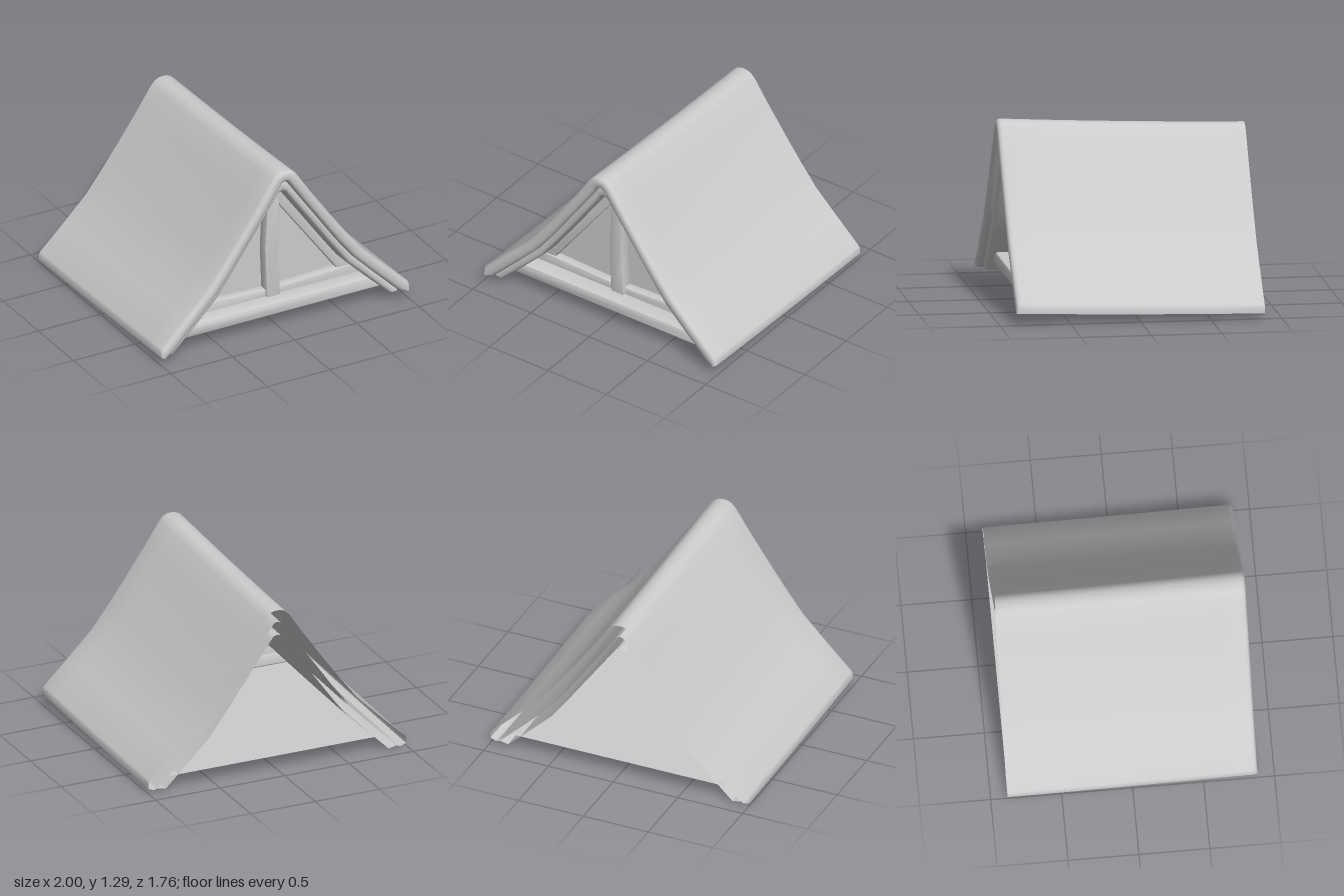
import * as THREE from 'three';
import { toCreasedNormals } from 'three/addons/utils/BufferGeometryUtils.js';

const material = new THREE.MeshStandardMaterial({ color: 0xcccccc, side: THREE.DoubleSide });

// Half profiles, ridge to right eave; matching points of each pair face each other
const roofOuter = [[0, 1.29], [0.03, 1.287], [0.06, 1.275], [0.095, 1.24], [0.2, 1.08], [0.36, 0.85], [0.49, 0.67], [0.62, 0.5], [0.8, 0.32], [0.99, 0.135], [1, 0.12], [1, 0.075]];
const roofInner = [[0, 1.2], [0.015, 1.197], [0.03, 1.185], [0.05, 1.155], [0.135, 1.03], [0.295, 0.8], [0.42, 0.62], [0.55, 0.45], [0.735, 0.26], [0.91, 0.085], [0.945, 0.06], [0.965, 0.06]];
const trimOuter = [[0, 1.21], [0.03, 1.19], [0.06, 1.15], [0.3, 0.81], [0.425, 0.63], [0.555, 0.46], [0.74, 0.27], [0.94, 0.07]];
const trimInner = [[0, 1.1], [0.03, 1.09], [0.05, 1.06], [0.255, 0.77], [0.385, 0.585], [0.53, 0.385], [0.7, 0.215], [0.865, 0.055]];

const mirror = (half) => [...half.slice(1).reverse().map(([x, y]) => [-x, y]), ...half];

// The roof sags gently towards the back and leans a little to one side
function sag(x, y, z) {
  const t = (0.88 - z) / 1.76;
  return y + 0.01 * x - t * (1.45 - 0.45 * t) * (0.045 + 0.02 * y);
}

// Band between two profiles, swept front to back: rounded front, open back
function sweepBand(outerHalf, innerHalf, front) {
  const outer = mirror(outerHalf), inner = mirror(innerHalf), n = outer.length;
  const rows = [[front, 0.3], [front - 0.008, 0.14], [front - 0.02, 0.04], [front - 0.035, 0]];
  for (let i = 1; i <= 10; i++) rows.push([THREE.MathUtils.lerp(front - 0.035, -0.88, i / 10), 0]);
  const positions = [], index = [], m = 2 * n;
  for (const [z, inset] of rows) {
    const mix = (a, b) => {
      const x = a[0] + (b[0] - a[0]) * inset, y = a[1] + (b[1] - a[1]) * inset;
      positions.push(x, sag(x, y, z), z);
    };
    for (let i = 0; i < n; i++) mix(outer[i], inner[i]);
    for (let i = n - 1; i >= 0; i--) mix(inner[i], outer[i]);
  }
  for (let r = 0; r < rows.length - 1; r++) {
    for (let j = 0; j < m; j++) {
      const a = r * m + j, b = r * m + (j + 1) % m;
      index.push(a, b, a + m, b, b + m, a + m);
    }
  }
  for (let i = 0; i < n - 1; i++) {
    const p = m - 1 - i, q = m - 2 - i;
    index.push(i, p, q, i, q, i + 1);
  }
  const geometry = new THREE.BufferGeometry();
  geometry.setAttribute('position', new THREE.Float32BufferAttribute(positions, 3));
  geometry.setIndex(index);
  return toCreasedNormals(geometry, 0.7);
}

// Bevelled timber cut from an outline facing the front
function timber(points, front, depth, bevel = 0.012) {
  const shape = new THREE.Shape(points.map(([x, y]) => new THREE.Vector2(x, y)));
  const geometry = new THREE.ExtrudeGeometry(shape, {
    depth: depth - bevel, bevelEnabled: true, bevelSize: bevel, bevelOffset: -bevel,
    bevelThickness: bevel, bevelSegments: 2,
  });
  geometry.translate(0, 0, front - depth);
  return toCreasedNormals(geometry, 0.7);
}

export function createModel() {
  const group = new THREE.Group();
  const add = (name, geometry) => {
    const mesh = new THREE.Mesh(geometry, material);
    mesh.name = name;
    group.add(mesh);
  };

  // Roof covering and the trim beneath it
  add('roof', sweepBand(roofOuter, roofInner, 0.88));
  add('roofTrim', sweepBand(trimOuter, trimInner, 0.83));

  // Recessed gable wall
  const wall = new THREE.ShapeGeometry(new THREE.Shape([
    [-0.82, 0.11], [0.82, 0.11], [0.54, 0.385], [0.26, 0.77], [0, 1.13], [-0.26, 0.77], [-0.54, 0.385],
  ].map(([x, y]) => new THREE.Vector2(x, y))));
  wall.translate(0, 0, 0.6);
  add('gableWall', wall);

  // Sloping gable timbers
  for (const s of [-1, 1]) {
    const points = [[0, 1.12], [0, 1], [0.535, 0.27], [0.6, 0.24], [0.72, 0.22], [0.55, 0.39], [0.27, 0.77]];
    const outline = points.map(([x, y]) => [s * x, y]);
    add(s > 0 ? 'leftGableTimber' : 'rightGableTimber', timber(outline, 0.65, 0.06));
  }

  // Crooked centre post
  add('centrePost', timber([
    [-0.04, 0.18], [0.07, 0.18], [0.055, 0.42], [0.05, 0.6], [0.06, 0.85], [0.06, 1.1],
    [-0.04, 1.1], [-0.04, 0.85], [-0.055, 0.6], [-0.05, 0.42],
  ], 0.68, 0.09));

  // Upper and lower cross beams
  add('upperBeam', timber([[-0.72, 0.17], [0.72, 0.17], [0.68, 0.27], [0.5, 0.27], [0, 0.25], [-0.5, 0.27], [-0.68, 0.275]], 0.66, 0.07));
  add('lowerBeam', timber([[-0.82, 0.105], [0.82, 0.105], [0.74, 0.2], [-0.74, 0.2]], 0.78, 0.19, 0.025));

  // Floor closing the underside
  const floor = new THREE.PlaneGeometry(1.66, 1.6);
  floor.rotateX(Math.PI / 2);
  floor.translate(0, 0.108, -0.08);
  add('floor', floor);

  return group;
}
